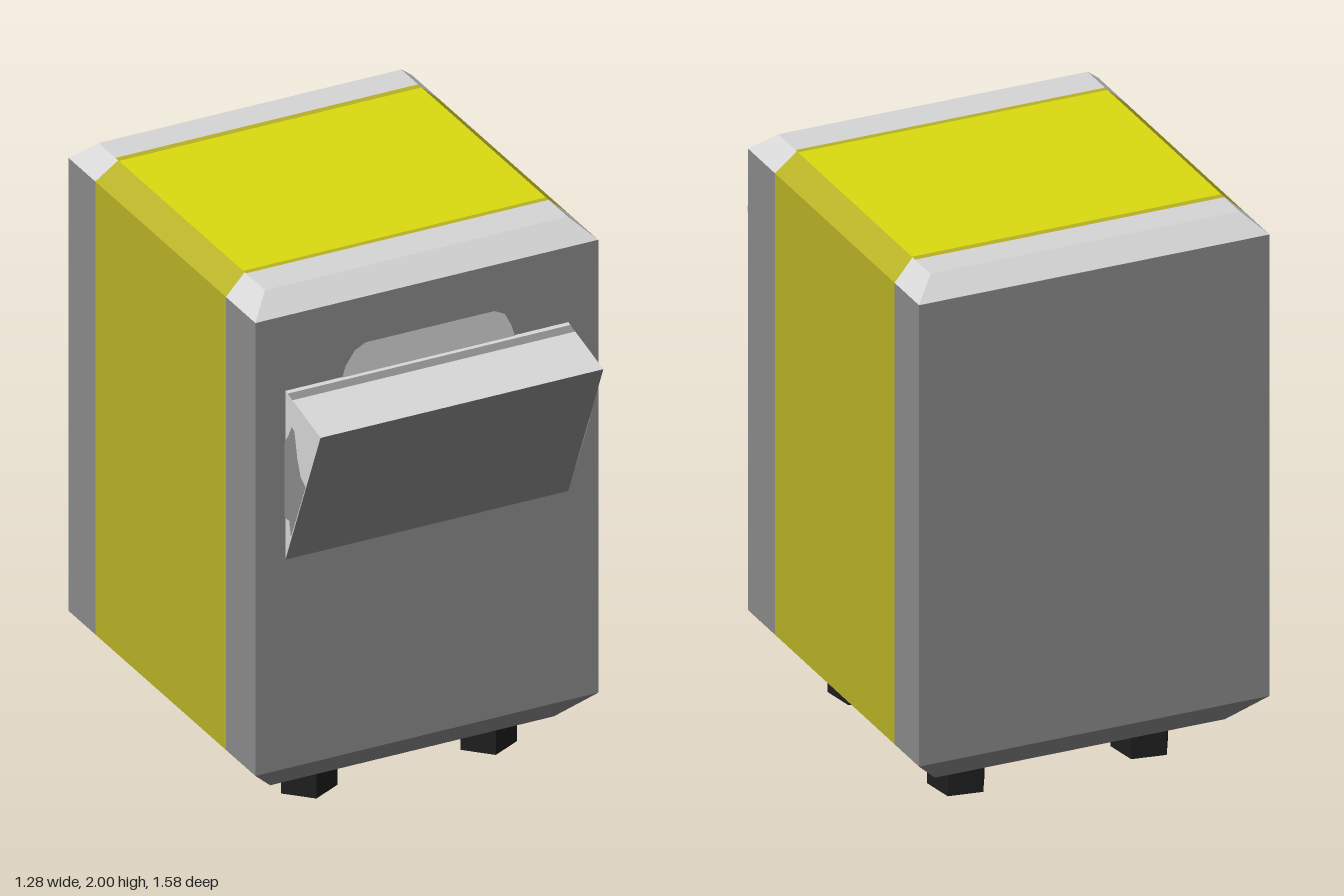
import * as THREE from 'three';

const paint = (name, color, side = THREE.FrontSide) => {
  const m = new THREE.MeshStandardMaterial({ color, side });
  m.name = name;
  return m;
};

// Flat-faced mesh from convex polygons, corners counter-clockwise from outside
function facets(name, material, polygons) {
  const pos = [];
  for (const p of polygons)
    for (let i = 1; i < p.length - 1; i++) pos.push(...p[0], ...p[i], ...p[i + 1]);
  const g = new THREE.BufferGeometry();
  g.setAttribute('position', new THREE.Float32BufferAttribute(pos, 3));
  g.computeVertexNormals();
  const mesh = new THREE.Mesh(g, material);
  mesh.name = name;
  return mesh;
}

const flatShape = (pts) =>
  new THREE.ShapeGeometry(new THREE.Shape(pts.map((p) => new THREE.Vector2(...p))));

export function createModel() {
  const lightGrey = paint('lightGrey', 0xd6d6d6);
  const midGrey = paint('midGrey', 0x8a8a8a, THREE.DoubleSide);
  const yellow = paint('yellow', 0xdada0f);
  const darkYellow = paint('darkYellow', 0xb8b125);
  const black = paint('black', 0x1e1e1e);

  const model = new THREE.Group();
  model.name = 'collectionBin';

  // Cabinet: rectangular rings joined by walls, with chamfered top and bottom.
  // b and f are where the yellow band starts and ends on each level.
  const rings = [
    { y: 0.13, x: 0.53, zb: -0.68, zf: 0.435, b: -0.6, f: 0.33 },
    { y: 0.24, x: 0.64, zb: -0.79, zf: 0.54, b: -0.6, f: 0.33 },
    { y: 1.93, x: 0.64, zb: -0.79, zf: 0.54, b: -0.6, f: 0.33 },
    { y: 2.0, x: 0.565, zb: -0.72, zf: 0.465, b: -0.58, f: 0.32 },
  ];
  const walls = [], rim = [], band = [];
  const flat = (y, x, z0, z1) => [[-x, y, z1], [x, y, z1], [x, y, z0], [-x, y, z0]];
  for (let i = 0; i < 3; i++) {
    const l = rings[i], u = rings[i + 1];
    const grey = i === 2 ? rim : walls;
    grey.push([[-l.x, l.y, l.zf], [l.x, l.y, l.zf], [u.x, u.y, u.zf], [-u.x, u.y, u.zf]]);
    grey.push([[l.x, l.y, l.zb], [-l.x, l.y, l.zb], [-u.x, u.y, u.zb], [u.x, u.y, u.zb]]);
    for (const s of [1, -1])
      for (const [k0, k1, list] of [['zb', 'b', grey], ['b', 'f', band], ['f', 'zf', grey]]) {
        const q = [[s * l.x, l.y, l[k1]], [s * l.x, l.y, l[k0]],
          [s * u.x, u.y, u[k0]], [s * u.x, u.y, u[k1]]];
        list.push(s > 0 ? q : q.reverse());
      }
  }
  const low = rings[0], top = rings[3];
  walls.push(flat(low.y, low.x, low.zb, low.zf).reverse());
  rim.push(flat(2, top.x, top.zb, -0.6), flat(2, top.x, 0.33, top.zf));
  band.push(flat(2, top.x, -0.6, -0.575), flat(2, top.x, 0.31, 0.33));
  model.add(
    facets('cabinetWalls', midGrey, walls),
    facets('roofRim', lightGrey, rim),
    facets('sideBand', darkYellow, band),
    facets('roofPanel', yellow, [flat(2, top.x, -0.575, 0.31)]),
  );

  // Chute: a wedge on the front
  const chute = new THREE.Group();
  chute.name = 'chute';
  const cx = 0.528;
  const back = [1.65, 0.54], tip = [1.59, 0.79], foot = [1.02, 0.54];
  const span = (a, b) => [[-cx, ...a], [-cx, ...b], [cx, ...b], [cx, ...a]];
  const lidAt = (z) => [1.65 - (z - 0.54) * 0.24, z];
  chute.add(
    facets('chuteFront', midGrey, [span(tip, foot)]),
    facets('chuteLid', lightGrey, [span(back, lidAt(0.555)), span(lidAt(0.59), tip)]),
    facets('chuteHinge', midGrey, [span(lidAt(0.555), lidAt(0.59))]),
    facets('chuteCheeks', lightGrey, [
      [[cx, ...back], [cx, ...tip], [cx, ...foot]],
      [[-cx, ...foot], [-cx, ...tip], [-cx, ...back]],
    ]),
  );
  // Grey patches on the chute cheeks, drawn as (z, y)
  const patch = flatShape([[0.54, 1.18], [0.573, 1.18], [0.585, 1.125], [0.69, 1.36],
    [0.655, 1.38], [0.63, 1.44], [0.61, 1.53], [0.59, 1.54], [0.57, 1.5], [0.54, 1.46]]);
  for (const s of [1, -1]) {
    const m = new THREE.Mesh(patch, midGrey);
    m.name = 'cheekPatch';
    m.rotation.y = -Math.PI / 2;
    m.position.x = s * (cx + 0.003);
    chute.add(m);
  }
  model.add(chute);

  // Pale panel above the chute
  const panel = new THREE.Mesh(flatShape([[-0.32, 1.64], [0.33, 1.64], [0.315, 1.69],
    [0.29, 1.74], [0.25, 1.76], [-0.23, 1.76], [-0.27, 1.74], [-0.305, 1.69]]), lightGrey);
  panel.name = 'upperPanel';
  panel.position.z = 0.543;
  model.add(panel);

  // Five-sided feet
  const footGeo = new THREE.CylinderGeometry(0.104, 0.104, 0.13, 5, 1, false, Math.PI * 0.75)
    .toNonIndexed();
  footGeo.computeVertexNormals();
  for (const x of [-0.307, 0.363])
    for (const z of [-0.507, 0.267]) {
      const m = new THREE.Mesh(footGeo, black);
      m.name = 'foot';
      m.position.set(x, 0.065, z);
      model.add(m);
    }
  return model;
}
